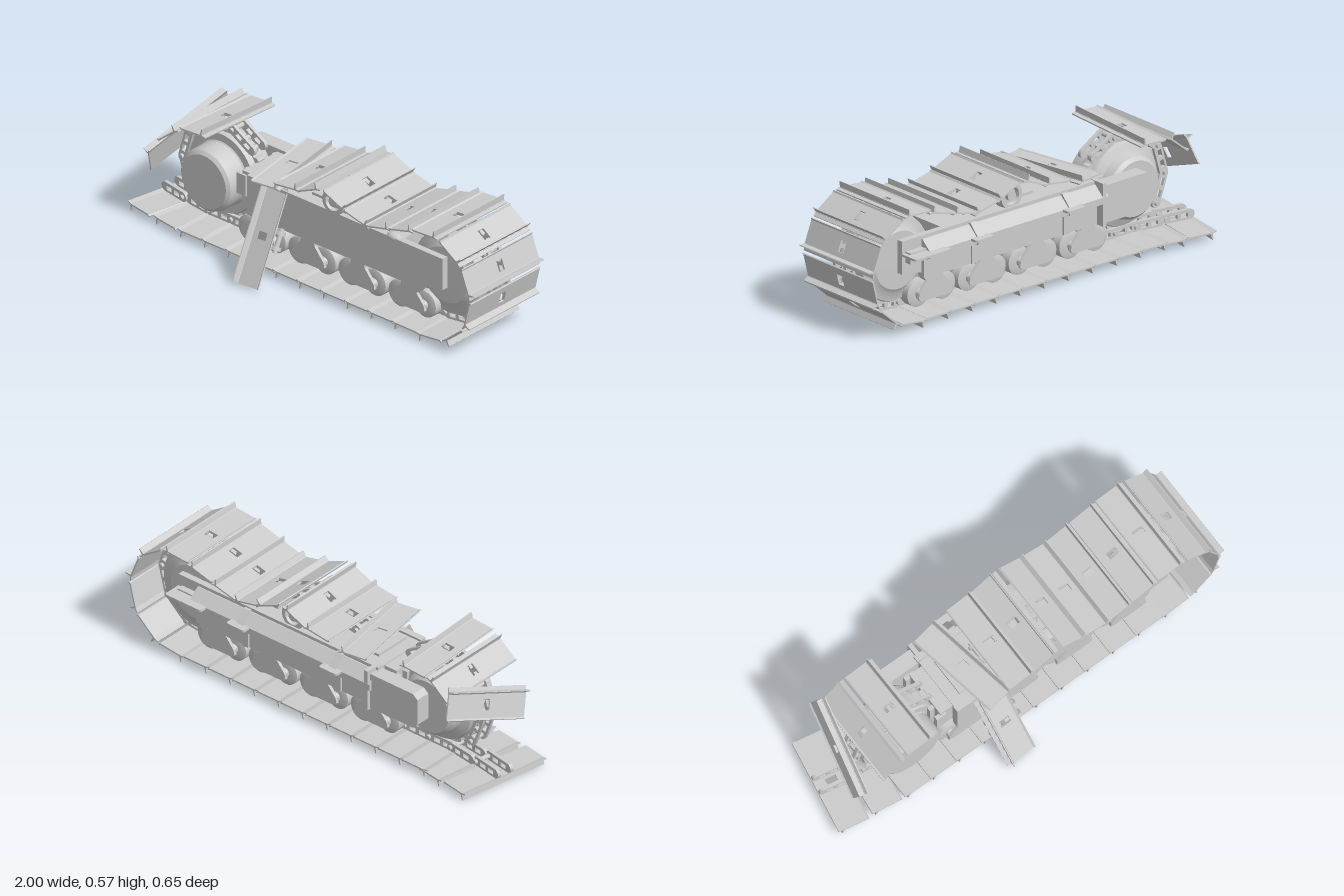
import * as THREE from 'three';
import { toCreasedNormals } from 'three/addons/utils/BufferGeometryUtils.js';

const MID = -0.06; // z of the chain line
const mat = new THREE.MeshStandardMaterial({ color: 0xcccccc, side: THREE.DoubleSide });

function add(parent, name, geo, x = 0, y = 0, z = 0) {
  const m = new THREE.Mesh(geo, mat);
  m.name = name;
  m.position.set(x, y, z);
  parent.add(m);
  return m;
}
const box = (w, h, d) => new THREE.BoxGeometry(w, h, d);
const pts = a => a.map(p => new THREE.Vector2(...p));
const rect = (x, y, w, h) => pts([[x - w / 2, y - h / 2], [x + w / 2, y - h / 2], [x + w / 2, y + h / 2], [x - w / 2, y + h / 2]]);

// Extrusion centred on its own depth, running along z
function slab(outline, depth, holes = []) {
  const s = outline instanceof THREE.Shape ? outline : new THREE.Shape(pts(outline));
  for (const h of holes) s.holes.push(new THREE.Path(h));
  return new THREE.ExtrudeGeometry(s, { depth, bevelEnabled: false, curveSegments: 8 }).translate(0, 0, -depth / 2);
}
// Turned part with its axis along z; profile is [radius, z]
function turned(profile, seg = 40) {
  return toCreasedNormals(new THREE.LatheGeometry(pts(profile), seg).rotateX(Math.PI / 2), 0.5);
}

// Shared shoe and link geometry; the outer side of a shoe is local -y
const W = 0.445, P = 0.135;
const plateGeo = slab(new THREE.Shape(rect(0, 0, 0.122, W)), 0.007, [rect(0, 0, 0.05, 0.035)])
  .rotateX(Math.PI / 2).translate(0, -0.024, 0);
const grouserGeo = slab([[-0.044, -0.024], [-0.05, -0.03], [-0.057, -0.054], [-0.062, -0.054], [-0.058, -0.024]], W);
const tailGeo = slab([[-0.055, -0.021], [-0.055, -0.027], [-0.078, -0.021], [-0.077, -0.015]], W);
const lipGeo = slab([[0.055, -0.022], [0.055, -0.026], [0.064, -0.033], [0.067, -0.029], [0.061, -0.022]], W);
const linkShape = new THREE.Shape();
linkShape.absarc(P / 2, 0.004, 0.022, -Math.PI / 2, Math.PI / 2);
linkShape.absarc(-P / 2 + 0.012, 0.004, 0.022, Math.PI / 2, Math.PI * 1.5);
const linkGeo = slab(linkShape, 0.016, [rect(-0.027, 0.002, 0.034, 0.02), rect(0.025, 0.002, 0.034, 0.02)]);
const pinGeo = new THREE.CylinderGeometry(0.011, 0.011, 0.11, 12).rotateX(Math.PI / 2);

function shoe(parent, name, linked = true, plated = true) {
  const g = new THREE.Group();
  g.name = name;
  if (plated) {
    add(g, 'shoePlate', plateGeo);
    add(g, 'shoeGrouser', grouserGeo);
    add(g, 'shoeTail', tailGeo);
    add(g, 'shoeLip', lipGeo);
  }
  if (linked) {
    for (const s of [-1, 1]) add(g, 'chainLink', linkGeo, 0, 0, s * 0.034);
    add(g, 'chainPin', pinGeo, P / 2, 0.004, 0);
  }
  parent.add(g);
  return g;
}
// Loose shoe given its centre, long direction and outward direction
function looseShoe(parent, name, pos, along, out, linked) {
  const g = shoe(parent, name, linked);
  const z = new THREE.Vector3(...along).normalize();
  const x = new THREE.Vector3(...out).negate().cross(z).normalize();
  const y = z.clone().cross(x);
  g.quaternion.setFromRotationMatrix(new THREE.Matrix4().makeBasis(x, y, z));
  g.position.set(...pos);
}

function buildTrack(root) {
  // Ground run, idler wrap and sagging top run
  const path = [];
  for (let x = -0.66; x < 0.7; x += 0.1) path.push([x, 0.06]);
  for (let a = -90; a <= 90; a += 20) {
    const t = a * Math.PI / 180;
    path.push([0.735 + 0.22 * Math.cos(t), 0.28 + 0.22 * Math.sin(t)]);
  }
  path.push([0.56, 0.46], [0.4, 0.425], [0.27, 0.45], [0.145, 0.492], [0.03, 0.455], [-0.14, 0.43]);
  const curve = new THREE.CatmullRomCurve3(path.map(p => new THREE.Vector3(p[0], p[1], MID)));
  curve.arcLengthDivisions = 600;
  const length = curve.getLength();
  for (let s = P / 2; s < length - 0.04; s += P) {
    const t = curve.getTangentAt(s / length);
    const g = shoe(root, 'trackShoe');
    g.position.copy(curve.getPointAt(s / length));
    g.rotation.z = Math.atan2(t.y, t.x);
  }
  // Short chain left on the sprocket, with two shoes still attached, one bent
  for (let i = 0; i < 5; i++) {
    const a = (59 + i * 35) * Math.PI / 180;
    const g = shoe(root, 'sprocketChain', true, i === 1 || i === 2);
    g.position.set(-0.575 + 0.222 * Math.cos(a), 0.275 + 0.222 * Math.sin(a), MID);
    g.rotation.set(i === 1 ? -0.05 : 0, 0, a + Math.PI / 2);
  }
  // Broken-off shoes
  looseShoe(root, 'endShoe', [-0.872, 0.057, -0.085], [-0.18, 0, 1], [0, -1, 0], true);
  looseShoe(root, 'secondEndShoe', [-0.718, 0.057, -0.07], [-0.14, 0, 1], [0, -1, 0], true);
  looseShoe(root, 'hangingShoe', [-0.81, 0.345, -0.09], [-0.08, -0.16, 0.42], [-0.95, 0.22, 0], false);
  looseShoe(root, 'lyingShoe', [-0.21, 0.41, -0.05], [0.17, 0, 1], [0, 1, 0], false);
  looseShoe(root, 'leaningShoe', [-0.165, 0.188, 0.166], [-0.025, 0.385, -0.22], [0, 0.22, 0.385], true);
}

function buildWheels(root) {
  // Toothed sprocket with final drive drum
  const teeth = [];
  const N = 24;
  for (let i = 0; i < N * 4; i++) {
    const a = i / (N * 4) * Math.PI * 2, r = i % 4 < 2 ? 0.212 : 0.195;
    teeth.push([r * Math.cos(a), r * Math.sin(a)]);
  }
  const sprocket = new THREE.Group();
  sprocket.name = 'driveSprocket';
  sprocket.position.set(-0.575, 0.275, MID);
  add(sprocket, 'toothRing', slab(teeth, 0.04));
  add(sprocket, 'driveDrum', turned([[0, -0.12], [0.125, -0.12], [0.14, -0.105], [0.15, -0.06], [0.185, -0.045], [0.19, -0.035],
    [0.19, 0.04], [0.185, 0.05], [0.15, 0.05], [0.145, 0.055], [0.145, 0.13], [0.14, 0.148], [0.125, 0.16], [0, 0.16]]));
  root.add(sprocket);

  // Front idler with shallow domed faces
  add(root, 'idler', turned([[0, -0.1], [0.13, -0.098], [0.15, -0.085], [0.185, -0.08], [0.19, -0.07], [0.19, -0.025], [0.202, -0.02],
    [0.202, 0.02], [0.19, 0.025], [0.19, 0.07], [0.185, 0.08], [0.15, 0.085], [0.13, 0.098], [0, 0.1]]), 0.735, 0.28, MID);

  // Carrier roller on its bracket
  add(root, 'carrierRoller', turned([[0, -0.15], [0.022, -0.15], [0.022, -0.13], [0.036, -0.13], [0.04, -0.15], [0.058, -0.15], [0.06, -0.145], [0.06, -0.1],
    [0.05, -0.095], [0.05, 0.095], [0.06, 0.1], [0.06, 0.145], [0.058, 0.15], [0.04, 0.15], [0.036, 0.13], [0.022, 0.13], [0.022, 0.15], [0, 0.15]], 28), 0.145, 0.435, MID);
  add(root, 'carrierBracket', box(0.05, 0.06, 0.07), 0.145, 0.4, MID);

  // Road rollers in pairs with triangular bogie plates
  const roller = turned([[0, -0.135], [0.02, -0.135], [0.022, -0.12], [0.045, -0.12], [0.062, -0.115], [0.062, -0.07], [0.052, -0.055],
    [0.052, 0.055], [0.062, 0.07], [0.062, 0.115], [0.045, 0.12], [0.022, 0.12], [0.02, 0.135], [0, 0.135]], 28);
  const bogie = slab([[-0.095, 0.095], [-0.08, 0.082], [0.08, 0.082], [0.095, 0.095], [0.09, 0.12], [0.04, 0.18], [0.035, 0.21], [-0.035, 0.21], [-0.04, 0.18], [-0.09, 0.12]], 0.014);
  for (let i = 0; i < 4; i++) {
    const x = -0.285 + i * 0.284;
    for (const s of [-1, 1]) {
      add(root, 'roadRoller', roller, x + s * 0.072, 0.112, MID);
      add(root, 'bogiePlate', bogie, x, 0, MID + s * 0.137);
    }
    add(root, 'bogieSaddle', box(0.07, 0.06, 0.27), x, 0.19, MID);
  }
}

// Back guard section running along x; the profile is [distance behind centre, y]
function hood(len, grow) {
  return slab([[0.195, 0.2], [0.235 + grow, 0.2], [0.235 + grow, 0.285], [0.275 + grow, 0.3],
    [0.275 + grow, 0.33], [0.225 + grow, 0.375 + grow], [0.195, 0.375 + grow]], len).rotateY(Math.PI / 2);
}

function buildFrame(root) {
  // Side plates with a hooked forward end beside the idler
  const side = [[-0.34, 0.2], [0.6, 0.2], [0.62, 0.175], [0.635, 0.18], [0.665, 0.225], [0.77, 0.24], [0.77, 0.39], [-0.34, 0.39]];
  add(root, 'frontSidePlate', slab(side, 0.03), 0, 0, 0.075);
  add(root, 'backSidePlate', slab(side, 0.03), 0, 0, -0.205);
  add(root, 'frameBeam', box(0.85, 0.17, 0.27), 0.09, 0.295, MID);
  add(root, 'rearYoke', box(0.07, 0.15, 0.22), -0.365, 0.3, MID);
  for (const z of [-0.17, -0.12, 0, 0.05]) add(root, 'yokeRib', box(0.05, 0.1, 0.02), -0.4, 0.31, z);

  // Back guard: sloping hood, straps, nose, and a deeper cover over the sprocket's back
  add(root, 'guardHood', hood(1.0, 0), 0.16);
  for (const x of [-0.135, 0.38]) add(root, 'guardStrap', hood(0.035, 0.008), x);
  add(root, 'guardNose', box(0.1, 0.05, 0.03), 0.7, 0.315, -0.235);
  const cover = [[-0.595, 0.23], [-0.57, 0.205], [-0.32, 0.205], [-0.32, 0.375], [-0.57, 0.375], [-0.595, 0.355]];
  add(root, 'sprocketCover', slab(cover, 0.07), 0, 0, -0.225);
  add(root, 'coverFlange', box(0.02, 0.195, 0.085), -0.32, 0.295, -0.232);

  // Rounded steps on the back
  for (const [x, w] of [[-0.135, 0.1], [0.38, 0.1], [0.67, 0.2]]) {
    const s = new THREE.Shape();
    s.moveTo(-w / 2, 0).lineTo(w / 2, 0).lineTo(w / 2, 0.075);
    s.quadraticCurveTo(w / 2, 0.09, w / 2 - 0.015, 0.09).lineTo(-w / 2 + 0.015, 0.09);
    s.quadraticCurveTo(-w / 2, 0.09, -w / 2, 0.075);
    add(root, 'backStep', slab(s, 0.01).rotateX(-Math.PI / 2), x, 0.328, -0.22);
  }
  // Top fittings
  for (const x of [-0.24, 0.02, 0.32]) add(root, 'frameCover', box(0.09, 0.012, 0.18), x, 0.394, MID);
  const lug = add(root, 'frontLug', new THREE.SphereGeometry(0.04, 16, 8), 0.48, 0.385, 0.07);
  lug.scale.set(1, 0.5, 0.6);
}

export function createModel() {
  const root = new THREE.Group();
  root.name = 'brokenCrawlerTrack';
  buildFrame(root);
  buildWheels(root);
  buildTrack(root);
  return root;
}
